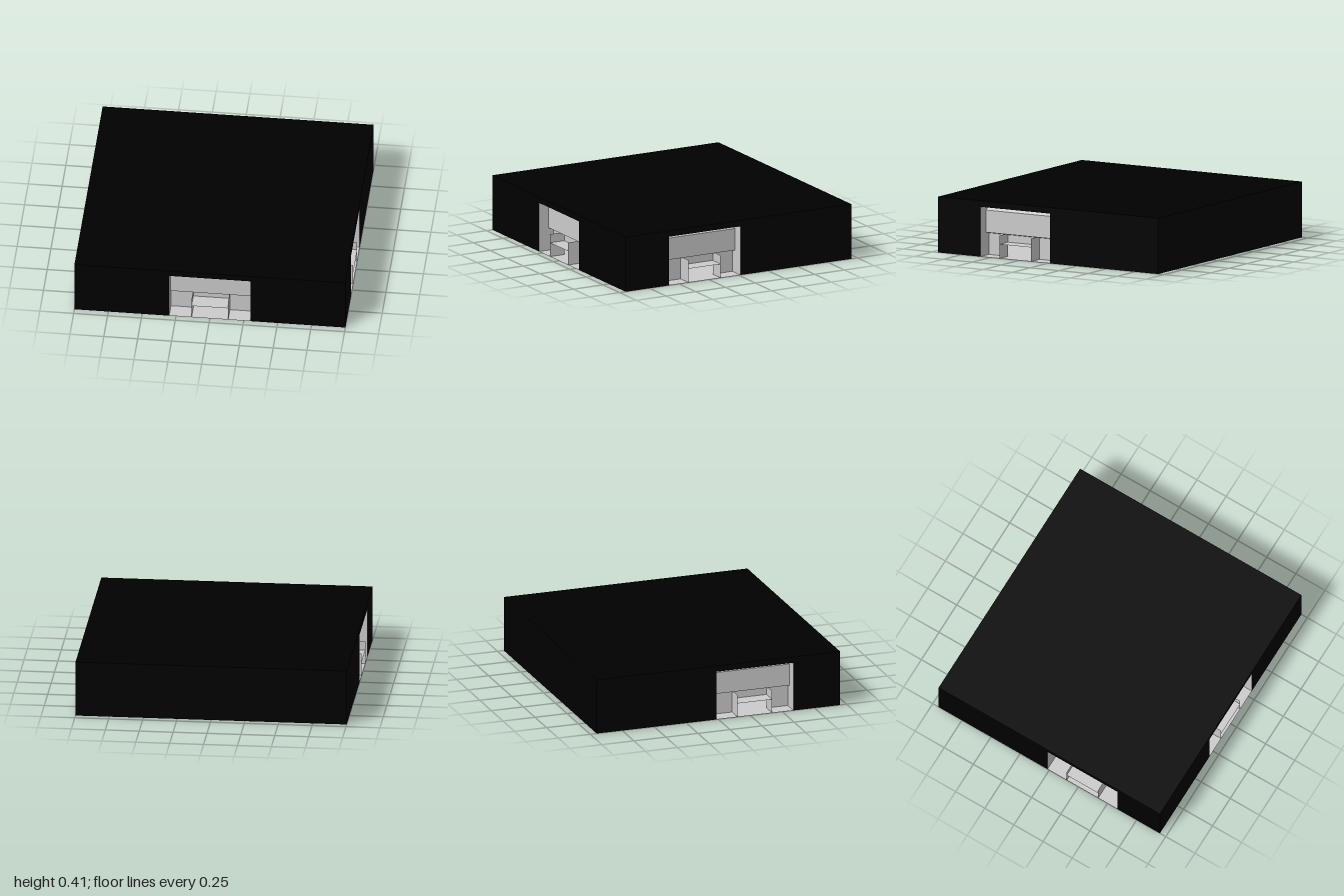
import * as THREE from 'three';

const W = 2, D = 1.9, H = 0.415;           // outer hall size
const DOOR_W = 0.6, DOOR_H = 0.37;         // recess in the outer walls
const GATE_W = 0.27, GATE_H = 0.105;       // passage through the inner wall
const FIN_H = 0.17, DEPTH = 0.12;          // side fins and recess depth

const grey = new THREE.MeshStandardMaterial({ color: 0xcccccc, side: THREE.DoubleSide });
const black = new THREE.MeshStandardMaterial({ color: 0x000000, side: THREE.DoubleSide });

function add(parent, name, geometry, material, x = 0, y = 0, z = 0) {
  const mesh = new THREE.Mesh(geometry, material);
  mesh.name = name;
  mesh.position.set(x, y, z);
  parent.add(mesh);
  return mesh;
}

// Upright panel standing on y = 0 with a rectangular notch in its lower edge
function notchedPanel(width, height, notchX, notchW, notchH) {
  const w = width / 2, a = notchX - notchW / 2, b = notchX + notchW / 2;
  const points = [[-w, 0], [a, 0], [a, notchH], [b, notchH], [b, 0], [w, 0], [w, height], [-w, height]];
  return new THREE.ShapeGeometry(new THREE.Shape(points.map(p => new THREE.Vector2(...p))));
}

// Recessed gateway; its outer plane is local z = 0 and it runs towards -z
function createGateway() {
  const g = new THREE.Group();
  g.name = 'gateway';

  // Side reveals and ceiling of the recess
  for (const s of [-1, 1]) {
    const reveal = add(g, 'reveal', new THREE.PlaneGeometry(DEPTH, DOOR_H), grey, s * DOOR_W / 2, DOOR_H / 2, -DEPTH / 2);
    reveal.rotation.y = -s * Math.PI / 2;
  }
  const ceiling = add(g, 'recessCeiling', new THREE.PlaneGeometry(DOOR_W, DEPTH), grey, 0, DOOR_H, -DEPTH / 2);
  ceiling.rotation.x = Math.PI / 2;

  // Inner wall with the passage
  add(g, 'innerWall', notchedPanel(DOOR_W, DOOR_H, 0, GATE_W, GATE_H), grey, 0, 0, -DEPTH);

  // Lintel with sloped top and a small slope underneath
  const profile = [[-DEPTH, 0.16], [-0.08, 0.17], [-0.08, 0.335], [-DEPTH, DOOR_H]];
  const lintelShape = new THREE.Shape(profile.map(([z, y]) => new THREE.Vector2(-z, y)));
  const lintel = add(g, 'lintel', new THREE.ExtrudeGeometry(lintelShape, { depth: DOOR_W, bevelEnabled: false }), grey, -DOOR_W / 2);
  lintel.rotation.y = Math.PI / 2;

  // Two fins joined by a shelf above the passage
  for (const s of [-1, 1]) {
    const fin = add(g, 'fin', new THREE.PlaneGeometry(DEPTH, FIN_H), grey, s * GATE_W / 2, FIN_H / 2, -DEPTH / 2);
    fin.rotation.y = Math.PI / 2;
  }
  const shelf = add(g, 'shelf', new THREE.PlaneGeometry(GATE_W, DEPTH), grey, 0, GATE_H, -DEPTH / 2);
  shelf.rotation.x = -Math.PI / 2;
  return g;
}

// Smooth stepped bank rising from the floor to the back wall
function bankGeometry() {
  const curve = new THREE.CatmullRomCurve3([
    [-0.435, 0], [-0.47, 0.04], [-0.515, 0.085], [-0.56, 0.095], [-0.63, 0.095],
    [-0.68, 0.13], [-0.72, 0.165], [-0.78, 0.18], [-0.86, 0.2], [-0.95, 0.25],
  ].map(([z, y]) => new THREE.Vector3(0, y, z)));
  const rows = 36;
  const geometry = new THREE.PlaneGeometry(W, 1, 24, rows);
  const pos = geometry.attributes.position;
  for (let i = 0; i < pos.count; i++) {
    const x = pos.getX(i), t = 0.5 + pos.getY(i);
    const p = curve.getPoint(t);
    const swell = 0.006 * Math.sin(x * 6) * Math.sin(t * Math.PI);
    pos.setXYZ(i, x, p.y + swell, p.z);
  }
  geometry.computeVertexNormals();
  return geometry;
}

export function createModel() {
  const model = new THREE.Group();
  model.name = 'hall';

  // Outer walls, each with its gateway (position, turn, door offset along the wall)
  const walls = [
    { name: 'frontWall', width: W, x: 0, z: D / 2, turn: 0, door: 0 },
    { name: 'leftWall', width: D, x: W / 2, z: 0, turn: Math.PI / 2, door: -0.285 },
    { name: 'rightWall', width: D, x: -W / 2, z: 0, turn: -Math.PI / 2, door: 0.285 },
  ];
  for (const { name, width, x, z, turn, door } of walls) {
    const side = new THREE.Group();
    side.name = name;
    side.position.set(x, 0, z);
    side.rotation.y = turn;
    add(side, name + 'Panel', notchedPanel(width, H, door, DOOR_W, DOOR_H), black);
    const gateway = createGateway();
    gateway.position.x = door;
    side.add(gateway);
    model.add(side);
  }
  const back = add(model, 'backWall', new THREE.PlaneGeometry(W, H), black, 0, H / 2, -D / 2);
  back.rotation.y = Math.PI;

  // Flat roof
  const roof = add(model, 'roof', new THREE.PlaneGeometry(W, D), black, 0, H, 0);
  roof.rotation.x = -Math.PI / 2;

  // Floor in front of the bank
  const floorDepth = D / 2 + 0.435;
  const floor = add(model, 'floor', new THREE.PlaneGeometry(W, floorDepth), grey, 0, 0, D / 2 - floorDepth / 2);
  floor.rotation.x = -Math.PI / 2;
  add(model, 'bank', bankGeometry(), grey);

  return model;
}
